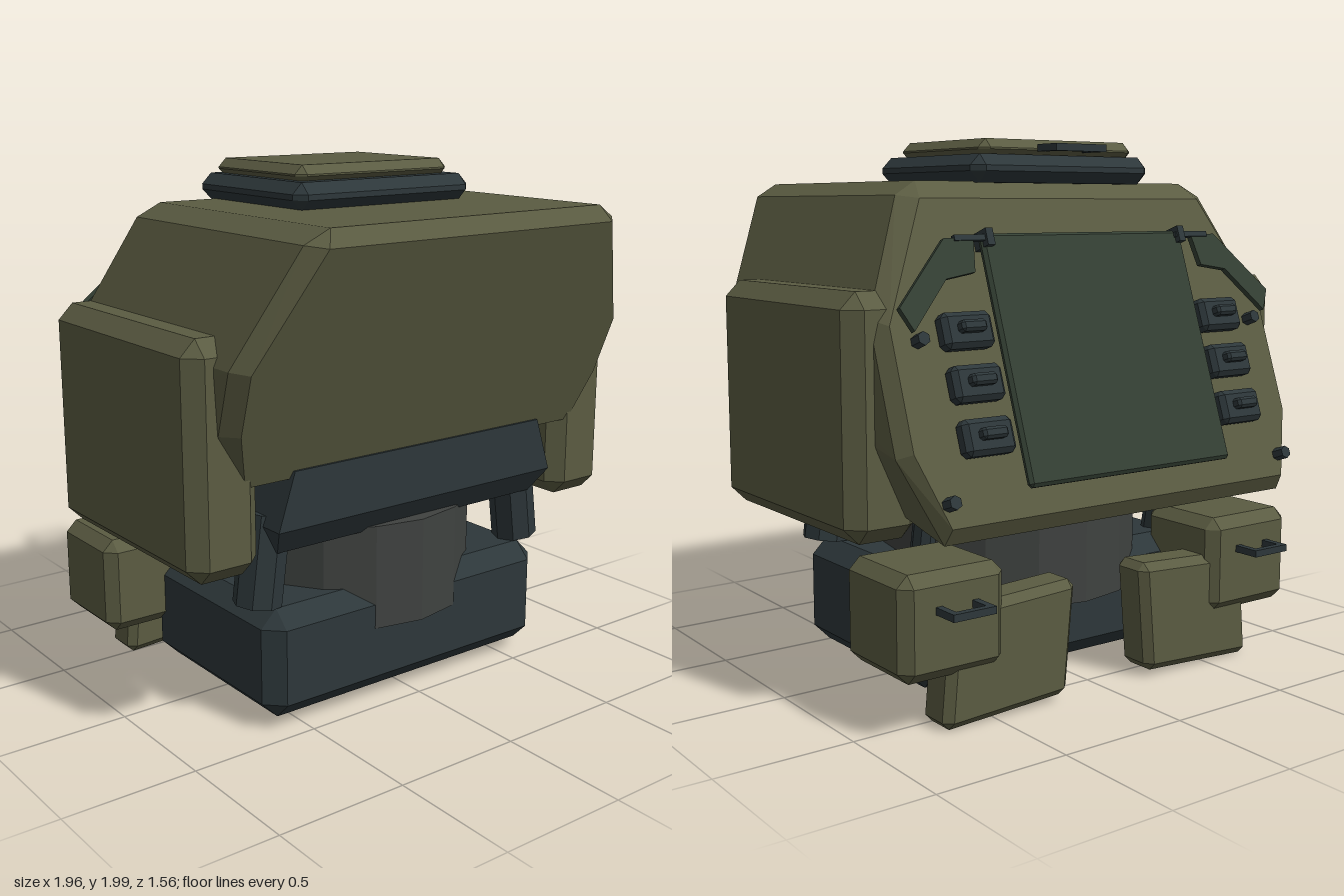
import * as THREE from 'three';
import { ConvexGeometry } from 'three/addons/geometries/ConvexGeometry.js';

const mat = (color) => new THREE.MeshStandardMaterial({ color, flatShading: true });
const olive = mat(0x5b5c42), dark = mat(0x2d373a), green = mat(0x344034), grey = mat(0x3f4240);

const V = (x, y, z) => new THREE.Vector3(x, y, z);

function add(parent, name, geometry, material, x = 0, y = 0, z = 0) {
  const m = new THREE.Mesh(geometry, material);
  m.name = name;
  m.position.set(x, y, z);
  parent.add(m);
  return m;
}

// Convex solid from corners given on the +x side, mirrored to -x
function mirroredHull(corners) {
  return new ConvexGeometry(corners.flatMap(([x, y, z]) => [V(x, y, z), V(-x, y, z)]));
}

// Box with every edge chamfered by c
function chamferBox(w, h, d, c) {
  const pts = [];
  const a = w / 2, b = h / 2, e = d / 2;
  for (const i of [-1, 1]) for (const j of [-1, 1]) for (const k of [-1, 1]) {
    pts.push(V(i * a, j * (b - c), k * (e - c)), V(i * (a - c), j * b, k * (e - c)), V(i * (a - c), j * (b - c), k * e));
  }
  return new ConvexGeometry(pts);
}

// Bracket handle projecting toward -z
function handle(parent, name, w, reach, x, y, z) {
  const g = new THREE.Group();
  g.name = name;
  g.position.set(x, y, z);
  const t = 0.026;
  add(g, 'handleBar', new THREE.BoxGeometry(w, t, t), dark, 0, 0, -reach + t / 2);
  for (const s of [-1, 1]) add(g, 'handleLeg', new THREE.BoxGeometry(t, t, reach), dark, s * (w - t) / 2, 0, -reach / 2);
  parent.add(g);
}

// Cylinder between two points
function strut(parent, name, a, b, r, sides) {
  const m = add(parent, name, new THREE.CylinderGeometry(r, r, a.distanceTo(b), sides), dark);
  m.position.copy(a).add(b).multiplyScalar(0.5);
  m.quaternion.setFromUnitVectors(V(0, 1, 0), b.clone().sub(a).normalize());
}

export function createModel() {
  const model = new THREE.Group();
  model.name = 'armouredCabin';

  // Main shell: sloping front and back planes, each with a chamfered rim
  const frontZ = (y) => 0.79 - (1.79 - y) * 0.367;
  const backZ = (y) => -0.37 - (1.79 - y) * 0.352;
  const shell = [];
  for (const [x, y] of [[0.64, 1.79], [0.84, 1.39], [0.83, 1.17], [0.77, 0.97]]) shell.push([x, y, frontZ(y)]);
  for (const [x, y] of [[0.61, 1.85], [0.7, 1.8], [0.89, 1.4], [0.88, 1.17], [0.8, 0.95]]) shell.push([x, y, frontZ(y) - 0.06]);
  for (const [x, y] of [[0.64, 1.79], [0.85, 1.38], [0.85, 0.98], [0.76, 0.74]]) shell.push([x, y, backZ(y)]);
  for (const [x, y] of [[0.61, 1.85], [0.7, 1.8], [0.89, 1.4], [0.89, 0.96], [0.77, 0.68]]) shell.push([x, y, backZ(y) + 0.055]);
  add(model, 'mainShell', mirroredHull(shell), olive);

  // Roof hatch
  add(model, 'hatchRim', chamferBox(0.81, 0.1, 0.67, 0.04), dark, 0, 1.895, -0.035);
  add(model, 'hatchLid', chamferBox(0.7, 0.07, 0.56, 0.032), olive, 0, 1.965, -0.05);
  handle(model, 'hatchHandle', 0.23, 0.11, 0, 1.97, -0.335);

  // Front sill
  add(model, 'frontSill', mirroredHull([
    [0.58, 1.0, 0.51], [0.65, 0.79, 0.51], [0.61, 0.69, 0.44],
    [0.58, 1.0, 0.2], [0.65, 0.79, 0.2], [0.61, 0.69, 0.2],
  ]), dark);

  // Turning drum and base block
  add(model, 'drum', new THREE.CylinderGeometry(0.5, 0.5, 0.4, 16), grey, 0, 0.51, 0.01);
  add(model, 'baseBlock', chamferBox(1.32, 0.42, 0.84, 0.066), dark, 0, 0.26, 0.05);

  for (const s of [-1, 1]) {
    // Side pods and struts
    add(model, 'sidePod', chamferBox(0.28, 0.84, 0.98, 0.058), olive, s * 0.84, 1.07, 0.01);
    strut(model, 'frontStrut', V(s * 0.635, 0.48, 0.345), V(s * 0.59, 0.82, 0.345), 0.09, 8);
    strut(model, 'rearStrut', V(s * 0.56, 0.42, -0.22), V(s * 0.56, 0.74, -0.28), 0.045, 8);

    // Rear stowage boxes
    add(model, 'stowageBox', chamferBox(0.42, 0.37, 0.39, 0.042), olive, s * 0.69, 0.395, -0.465);
    handle(model, 'stowageHandle', 0.17, 0.11, s * 0.69, 0.455, -0.655);

    // Hanging rear flaps, splayed outward toward the bottom
    const flap = chamferBox(0.53, 0.42, 0.165, 0.03);
    const p = flap.attributes.position;
    for (let i = 0; i < p.count; i++) {
      const x = p.getX(i), y = p.getY(i);
      p.setXY(i, x - s * y * 0.09, y - s * x * 0.05);
    }
    flap.computeVertexNormals();
    add(model, 'rearFlap', flap, olive, s * 0.435, 0.232, -0.55);
  }

  // Rear equipment, laid out on the sloping back plane (local -z points outward)
  const rear = new THREE.Group();
  rear.name = 'rearEquipment';
  rear.position.set(0, 1.25, backZ(1.25));
  rear.rotation.x = Math.atan(0.352);
  model.add(rear);

  add(rear, 'rearDoor', chamferBox(0.92, 0.88, 0.035, 0.012), green, 0, -0.01, -0.04);
  add(rear, 'doorMount', new THREE.BoxGeometry(0.7, 0.6, 0.04), dark, 0, 0, -0.01);

  // Cranked corner plate outline
  const plate = new THREE.Shape(
    [[0.5, 0.41], [0.62, 0.41], [0.84, 0.18], [0.8, 0.1], [0.64, 0.27], [0.52, 0.29]].map(([x, y]) => new THREE.Vector2(x, y)));

  for (const s of [-1, 1]) {
    const side = new THREE.Group();
    side.name = s > 0 ? 'leftControls' : 'rightControls';
    rear.add(side);

    const outline = s > 0 ? plate : new THREE.Shape(plate.getPoints().map((q) => new THREE.Vector2(-q.x, q.y)));
    add(side, 'cornerPlate', new THREE.ExtrudeGeometry(outline, { depth: 0.022, bevelEnabled: false }), green, 0, 0, -0.065);
    add(side, 'plateStandoff', new THREE.BoxGeometry(0.04, 0.04, 0.06), dark, s * 0.62, 0.33, -0.02);
    add(side, 'hingeRod', new THREE.BoxGeometry(0.16, 0.02, 0.02), dark, s * 0.5, 0.41, -0.06);
    add(side, 'hingePost', new THREE.BoxGeometry(0.03, 0.06, 0.08), dark, s * 0.44, 0.41, -0.04);

    // Latch units
    for (const v of [0.1, -0.08, -0.26]) {
      add(side, 'latchBody', chamferBox(0.2, 0.125, 0.07, 0.018), dark, s * 0.58, v, -0.025);
      add(side, 'latchGrip', chamferBox(0.1, 0.04, 0.05, 0.01), dark, s * 0.58, v + 0.005, -0.07);
    }

    // Bolts
    for (const v of [0.08, -0.46]) {
      const bolt = add(side, 'bolt', new THREE.CylinderGeometry(0.024, 0.024, 0.06, 6), dark, s * 0.76, v, -0.02);
      bolt.rotation.x = Math.PI / 2;
    }
  }
  return model;
}
